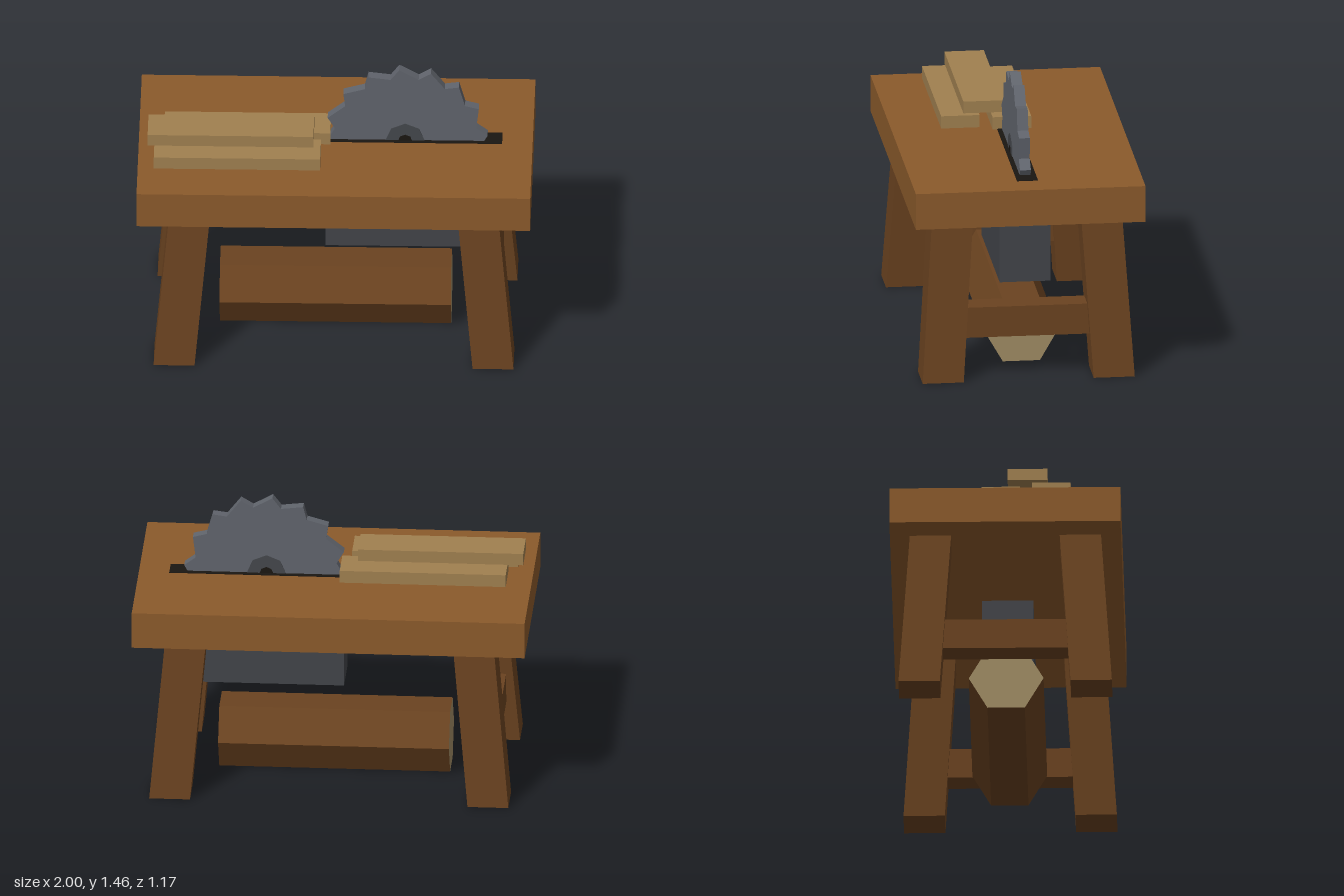
import * as THREE from 'three';

const mat = (color) => new THREE.MeshStandardMaterial({ color, flatShading: true });
const wood = mat(0x8b5a2b), darkWood = mat(0x6b4320), plankWood = mat(0xa08050);
const cutWood = mat(0xa08c64), steel = mat(0x60646c), darkSteel = mat(0x44474c);
const casing = mat(0x424449), black = mat(0x1a1612);

export function createModel() {
  const model = new THREE.Group();
  model.name = 'sawTable';

  const add = (name, geometry, material) => {
    const mesh = new THREE.Mesh(geometry, material);
    mesh.name = name;
    model.add(mesh);
    return mesh;
  };
  // Box given by its extents on each axis
  const box = (name, [x0, x1], [y0, y1], [z0, z1], material) => {
    const g = new THREE.BoxGeometry(x1 - x0, y1 - y0, z1 - z0);
    g.translate((x0 + x1) / 2, (y0 + y1) / 2, (z0 + z1) / 2);
    return add(name, g, material);
  };

  // Table top with the dark blade slot
  box('tableTop', [-1, 1], [0.85, 1.04], [-0.587, 0.587], wood);
  box('bladeSlot', [-0.03, 0.845], [1.0, 1.043], [-0.055, 0.052], black);

  // Splayed legs: boxes sheared outwards towards the floor
  for (const sx of [-1, 1]) {
    for (const sz of [-1, 1]) {
      const g = new THREE.BoxGeometry(0.208, 0.86, 0.21);
      g.translate(0, 0.43, 0);
      const p = g.attributes.position;
      for (let i = 0; i < p.count; i++) {
        const t = p.getY(i) / 0.86;
        p.setX(i, p.getX(i) + sx * (0.81 - 0.078 * t));
        p.setZ(i, p.getZ(i) + sz * (0.437 - 0.057 * t));
      }
      g.computeVertexNormals();
      add('leg', g, darkWood);
    }
    // Rail joining the front and back leg
    const rail = box('sideRail', [-0.068, 0.068], [0.215, 0.375], [-0.36, 0.36], darkWood);
    rail.position.x = sx * 0.777;
  }

  // Motor casing under the table
  box('motorCasing', [-0.05, 0.753], [0.475, 0.86], [-0.13, 0.13], casing);

  // Six-sided log lying on the floor with pale cut ends
  const log = new THREE.CylinderGeometry(0.19, 0.19, 1.175, 6);
  log.rotateZ(Math.PI / 2).translate(0, 0.1645, 0);
  add('log', log, [darkWood, cutWood, cutWood]);

  // Saw blade with raked teeth
  const teeth = 16, outline = [];
  for (let i = 0; i < teeth; i++) {
    const a = (i / teeth) * Math.PI * 2 + 0.08;
    for (const [r, b] of [[0.417, a], [0.366, a + 0.132]]) {
      outline.push(new THREE.Vector2(r * Math.cos(b), r * Math.sin(b)));
    }
  }
  const bladeGeometry = new THREE.ExtrudeGeometry(new THREE.Shape(outline), { depth: 0.056, bevelEnabled: false });
  bladeGeometry.translate(0, 0, -0.028);
  add('sawBlade', bladeGeometry, steel).position.set(0.355, 1.04, 0);

  // Blade flange and arbor
  for (const [name, r, depth, material] of [['flange', 0.1, 0.062, darkSteel], ['arbor', 0.036, 0.066, black]]) {
    const g = new THREE.CylinderGeometry(r, r, depth, 8).rotateX(Math.PI / 2);
    add(name, g, material).position.set(0.352, 1.04, 0);
  }

  // Stack of planks
  box('backPlank', [-0.872, -0.027], [1.04, 1.105], [-0.122, 0.075], plankWood);
  box('frontPlank', [-0.918, -0.073], [1.04, 1.105], [0.137, 0.333], plankWood);
  box('topPlank', [-0.952, -0.11], [1.105, 1.167], [0.013, 0.215], plankWood);

  return model;
}
